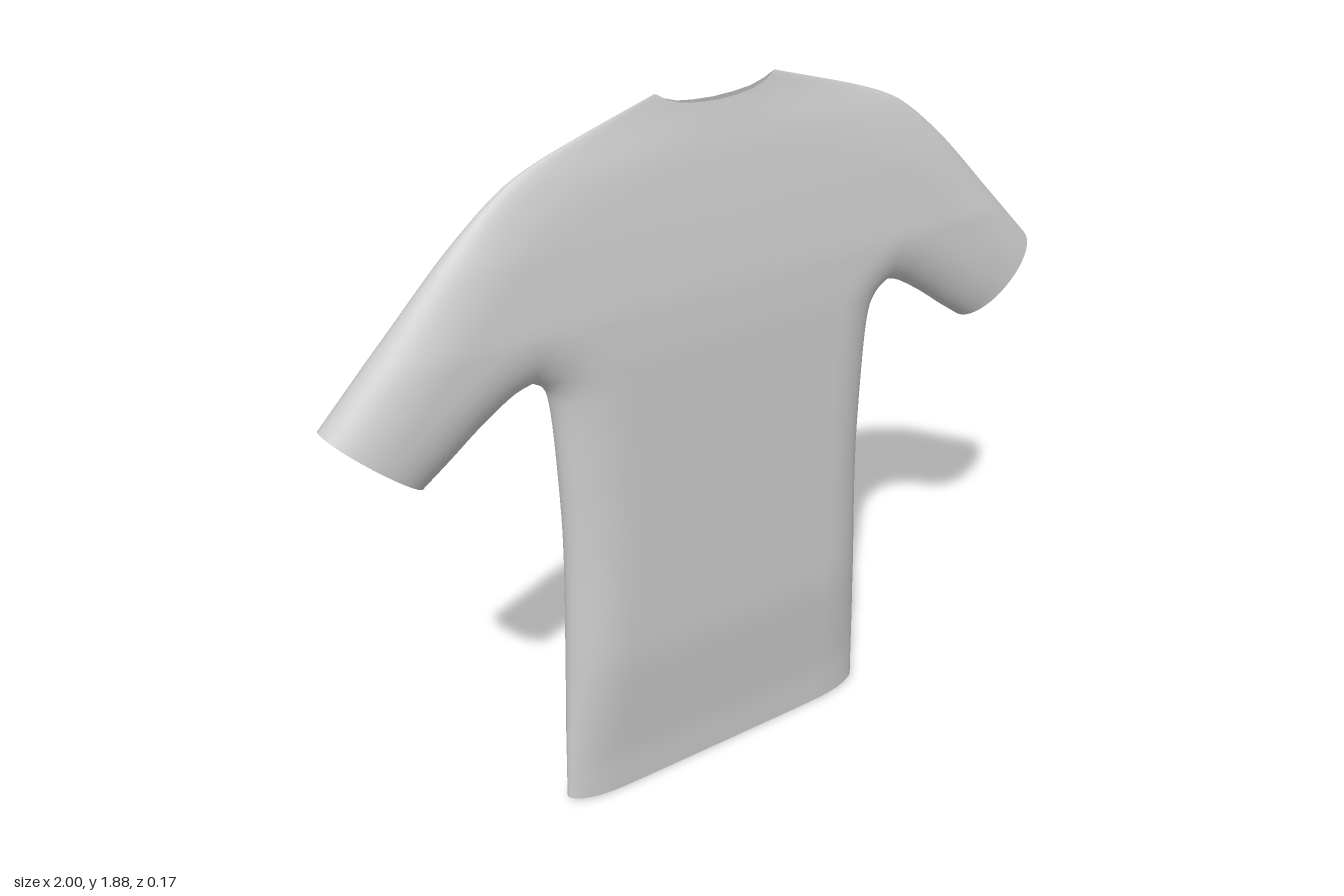
import * as THREE from 'three';
import { mergeGeometries, mergeVertices } from 'three/addons/utils/BufferGeometryUtils.js';

const N = 24; // divisions across each panel
const spline = (...p) => new THREE.SplineCurve(p.map(([x, y]) => new THREE.Vector2(x, y)));

// Outline of the left half of the shirt
const side = spline([0.478, 0.015], [0.47, 0.2], [0.452, 0.5], [0.441, 0.8], [0.446, 1.05], [0.456, 1.2], [0.475, 1.255], [0.51, 1.28]);
const underarm = spline([0.51, 1.28], [0.56, 1.265], [0.64, 1.215], [0.72, 1.155], [0.79, 1.105]);
const neck = spline([0, 1.843], [0.07, 1.847], [0.12, 1.858], [0.16, 1.88]);
const shoulder = spline([0.16, 1.88], [0.4, 1.805], [0.52, 1.755], [0.6, 1.7]);
const sleeveTop = spline([0.6, 1.7], [0.7, 1.61], [0.85, 1.455], [1, 1.3]);

// Spacings that crowd towards the seams
const easeEnd = (t) => Math.sin((t * Math.PI) / 2);
const easeBoth = (t) => (1 - Math.cos(t * Math.PI)) / 2;
const neckEnd = easeEnd(4 / N);
const topEdge = (u) => (u <= neckEnd + 1e-9
  ? neck.getPoint(Math.min(1, u / neckEnd))
  : shoulder.getPoint((u - neckEnd) / (1 - neckEnd)));

// Seams as short segments, sampled where the panel edges have vertices
const seams = [];
function addSeam(curve, ts) {
  const pts = ts.map((t) => curve(t));
  for (let i = 1; i < pts.length; i++) seams.push([pts[i - 1], pts[i]]);
}
const steps = (n, f = (t) => t) => Array.from({ length: n + 1 }, (_, i) => f(i / n));
addSeam((t) => side.getPoint(t), steps(40));
addSeam((t) => underarm.getPoint(t), steps(N));
addSeam((t) => sleeveTop.getPoint(t), steps(N));
addSeam(topEdge, steps(N, easeEnd).slice(4));

function seamDistance(p) {
  let best = Infinity;
  for (const [a, b] of seams) {
    const dx = b.x - a.x, dy = b.y - a.y;
    const t = THREE.MathUtils.clamp(((p.x - a.x) * dx + (p.y - a.y) * dy) / (dx * dx + dy * dy), 0, 1);
    best = Math.min(best, Math.hypot(p.x - a.x - t * dx, p.y - a.y - t * dy));
  }
  return best < 1e-6 ? 0 : best;
}

// Half thickness by height: thin at hem and neck, full over the body
const thickness = [[0, 0.038], [0.12, 0.044], [0.3, 0.065], [0.45, 0.081], [0.6, 0.083], [1.3, 0.081],
  [1.42, 0.078], [1.6, 0.057], [1.75, 0.033], [1.84, 0.013], [1.9, 0.003]];
function halfDepth(p) {
  let i = 1;
  while (i < thickness.length - 1 && p.y > thickness[i][0]) i++;
  const [y0, t0] = thickness[i - 1], [y1, t1] = thickness[i];
  const full = t0 + ((t1 - t0) * (p.y - y0)) / (y1 - y0);
  const k = 1 - Math.min(1, seamDistance(p) / 0.14);
  return full * Math.sqrt(1 - k * k);
}

// Grid panel; the two mirror signs make the left/right and front/back copies
function panel(at, cols, rows, sx, sz) {
  const pos = [], index = [];
  for (let j = 0; j <= rows; j++) {
    for (let i = 0; i <= cols; i++) {
      const p = at(i / cols, j / rows);
      pos.push(p.x * sx, p.y, halfDepth(p) * sz);
    }
  }
  for (let j = 0; j < rows; j++) {
    for (let i = 0; i < cols; i++) {
      const a = j * (cols + 1) + i, b = a + 1, c = a + cols + 1, d = c + 1;
      if (sx * sz > 0) index.push(a, b, d, a, d, c);
      else index.push(a, d, b, a, c, d);
    }
  }
  const g = new THREE.BufferGeometry();
  g.setAttribute('position', new THREE.Float32BufferAttribute(pos, 3));
  g.setIndex(index);
  return g;
}

// Body from hem to armpit, yoke from armpit to neck, sleeve from yoke to cuff
const body = (s, t) => {
  const e = side.getPoint(t), u = easeEnd(s);
  return new THREE.Vector2(e.x * u, e.y - 0.015 * (1 - t) * (1 - u ** 6));
};
const yoke = (s, t) => {
  const u = easeEnd(s);
  return new THREE.Vector2(0.51 * u, 1.28).lerp(topEdge(u), easeBoth(t));
};
const sleeve = (s, t) => underarm.getPoint(s).lerp(sleeveTop.getPoint(s), easeBoth(t));

export function createModel() {
  const parts = [];
  for (const sx of [1, -1]) {
    for (const sz of [1, -1]) {
      parts.push(panel(body, N, 40, sx, sz), panel(yoke, N, 28, sx, sz), panel(sleeve, N, 28, sx, sz));
    }
  }
  // Weld the panels so that shading runs smoothly over the seams
  const geometry = mergeVertices(mergeGeometries(parts), 1e-4);
  geometry.computeVertexNormals();
  const shirt = new THREE.Mesh(geometry, new THREE.MeshStandardMaterial({ color: 0xcccccc, side: THREE.DoubleSide }));
  shirt.name = 'shirt';
  const group = new THREE.Group();
  group.name = 'shortSleevedShirt';
  group.add(shirt);
  return group;
}
